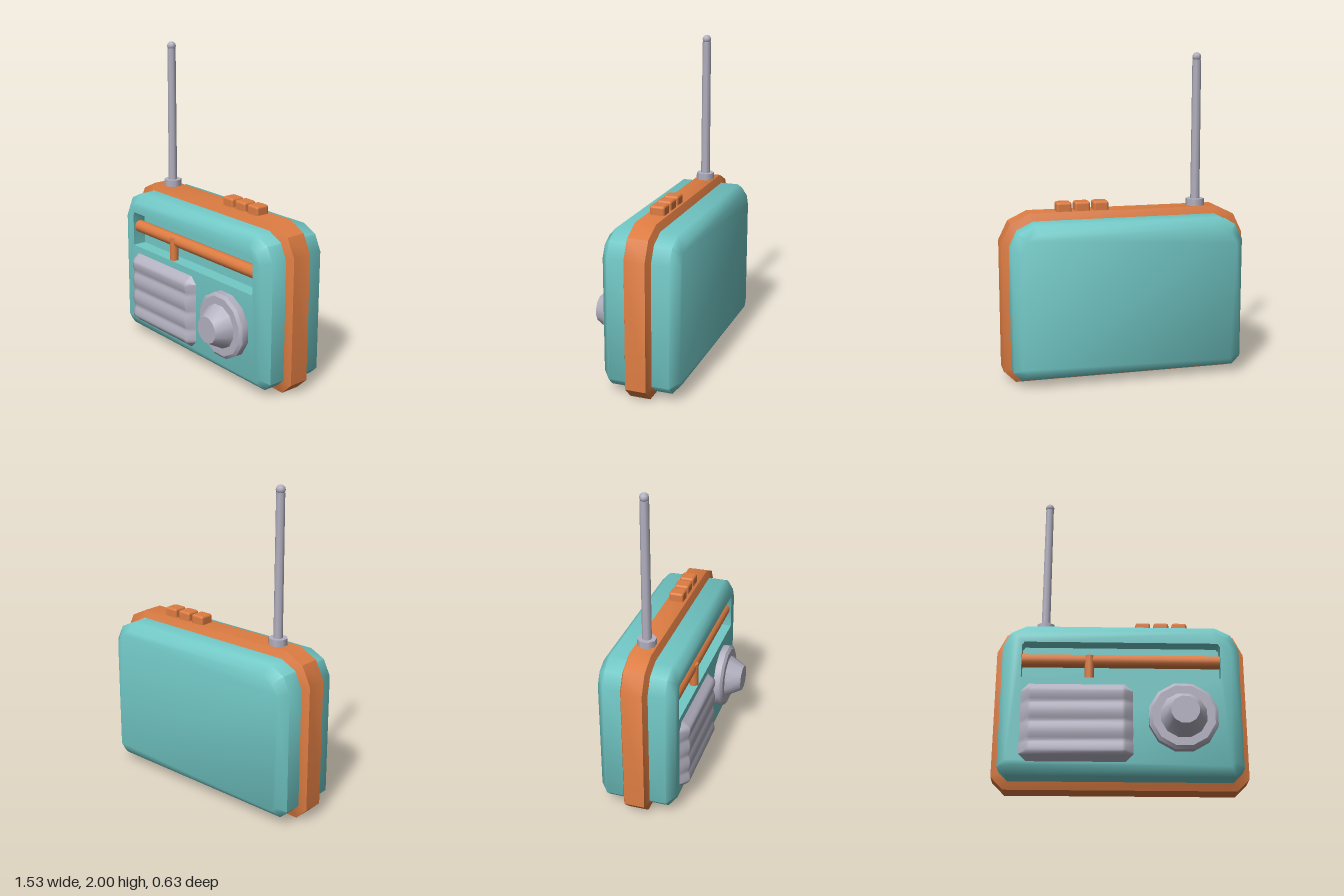
import * as THREE from 'three';
import { mergeGeometries, toCreasedNormals } from 'three/addons/utils/BufferGeometryUtils.js';
import { RoundedBoxGeometry } from 'three/addons/geometries/RoundedBoxGeometry.js';

// Counter-clockwise cabinet outline: small cut corners below, rounder corners above
function outline(w, y0, y1, cut, round) {
  const k = round * 0.36;
  const right = [[w - cut, y0], [w, y0 + cut], [w, y1 - round * 1.1], [w - k, y1 - k], [w - round * 1.1, y1]];
  return [...right, ...right.map(([x, y]) => [-x, y]).reverse()];
}

// Quad strips joining closed rings { z, pts }, from back to front
function loft(rings) {
  const pos = [];
  for (let r = 0; r < rings.length - 1; r++) {
    const a = rings[r], b = rings[r + 1], n = a.pts.length;
    for (let i = 0; i < n; i++) {
      const j = (i + 1) % n;
      const p = [...a.pts[i], a.z], q = [...a.pts[j], a.z];
      const s = [...b.pts[j], b.z], t = [...b.pts[i], b.z];
      pos.push(...p, ...q, ...s, ...p, ...s, ...t);
    }
  }
  const g = new THREE.BufferGeometry();
  g.setAttribute('position', new THREE.Float32BufferAttribute(pos, 3));
  return g;
}

// Flat face filling an outline, with an optional hole
function face(pts, z, hole) {
  const v = (list) => list.map(([x, y]) => new THREE.Vector2(x, y));
  const shape = new THREE.Shape(v(pts));
  if (hole) shape.holes.push(new THREE.Path(v(hole)));
  const g = new THREE.ShapeGeometry(shape).toNonIndexed();
  g.deleteAttribute('uv');
  g.deleteAttribute('normal');
  return g.translate(0, 0, z);
}

// Speaker panel: a wavy sheet sloping down to the cabinet on all sides
function speakerGeometry() {
  const x0 = -0.6, x1 = 0.075, y0 = 0.12, y1 = 0.6, e = 0.05, rows = 32;
  const xs = [x0, x0 + e, x0 + e + 0.02, x1 - e - 0.02, x1 - e, x1];
  const pos = [], index = [], cols = xs.length;
  for (let i = 0; i <= rows; i++) {
    const t = i / rows, y = y0 + (y1 - y0) * t;
    const edge = Math.min(1, Math.min(y - y0, y1 - y) / 0.04);
    const wave = 0.037 + 0.013 * Math.abs(Math.sin(t * Math.PI * 4));
    xs.forEach((x, c) => {
      const end = c === 0 || c === cols - 1;
      const yy = end ? THREE.MathUtils.clamp(y, y0 + 0.045, y1 - 0.045) : y;
      pos.push(x, yy, 0.155 + (end ? 0 : edge * wave + 0.005));
    });
  }
  for (let i = 0; i < rows; i++) for (let c = 0; c < cols - 1; c++) {
    const a = i * cols + c, b = a + cols;
    index.push(a, a + 1, b + 1, a, b + 1, b);
  }
  const g = new THREE.BufferGeometry();
  g.setAttribute('position', new THREE.Float32BufferAttribute(pos, 3));
  g.setIndex(index);
  g.computeVertexNormals();
  return g;
}

export function createModel() {
  const group = new THREE.Group();
  const material = (name, color) => {
    const m = new THREE.MeshStandardMaterial({ color });
    m.name = name;
    return m;
  };
  const teal = material('teal', 0x72c9c7);
  const orange = material('orange', 0xdd7c42);
  const grey = material('grey', 0xb3b1c0);
  const add = (name, geometry, mat, x = 0, y = 0, z = 0) => {
    const mesh = new THREE.Mesh(geometry, mat);
    mesh.name = name;
    mesh.position.set(x, y, z);
    group.add(mesh);
    return mesh;
  };

  // Cabinet with bevelled front and back and a sunken dial slot
  const outer = outline(0.72, 0.05, 1.0, 0.05, 0.13);
  const inner = outline(0.67, 0.1, 0.95, 0.03, 0.1);
  const slot = [[-0.6, 0.645], [0.6, 0.645], [0.6, 0.855], [0.585, 0.875], [-0.585, 0.875], [-0.6, 0.855]];
  const floorZ = 0.07;
  const cabinet = mergeGeometries([
    loft([{ z: -0.318, pts: inner }, { z: -0.27, pts: outer }, { z: 0.113, pts: outer }, { z: 0.16, pts: inner }]),
    face(inner, 0.16, slot),
    face(inner, 0.318).rotateY(Math.PI),
    loft([{ z: 0.16, pts: slot }, { z: floorZ, pts: slot }]),
    face(slot, floorZ),
  ]);
  add('cabinet', toCreasedNormals(cabinet, 1.0), teal);

  // Band around the middle
  const bandOuter = outline(0.765, 0, 1.05, 0.075, 0.16);
  const bandInner = outline(0.72, 0.045, 1.005, 0.055, 0.135);
  add('band', toCreasedNormals(loft([
    { z: -0.16, pts: bandInner }, { z: -0.14, pts: bandOuter },
    { z: -0.012, pts: bandOuter }, { z: 0.008, pts: bandInner },
  ]), 0.6), orange);

  // Dial bar and pointer
  add('dialBar', new THREE.CylinderGeometry(0.04, 0.04, 1.2, 12), orange, 0, 0.77, 0.11).rotation.z = Math.PI / 2;
  add('dialPointer', new THREE.CylinderGeometry(0.028, 0.028, 0.15, 12), orange, -0.192, 0.72, 0.13);

  // Speaker panel
  add('speakerPanel', speakerGeometry(), grey);

  // Tuning knob
  const knobProfile = [[0.21, 0], [0.21, 0.045], [0.19, 0.06], [0.14, 0.06], [0.085, 0.157], [0, 0.157]]
    .map(([r, h]) => new THREE.Vector2(r, h));
  const knob = new THREE.LatheGeometry(knobProfile, 12, Math.PI / 12).rotateX(Math.PI / 2);
  add('tuningKnob', toCreasedNormals(knob, 0.6), grey, 0.365, 0.39, 0.158);

  // Push buttons on top
  for (let i = 0; i < 3; i++) {
    add('pushButton', new RoundedBoxGeometry(0.095, 0.08, 0.095, 2, 0.015), orange, 0.143 + i * 0.115, 1.065, -0.078);
  }

  // Antenna
  const ax = -0.473, az = -0.076;
  add('antennaBase', new THREE.CylinderGeometry(0.058, 0.058, 0.05, 8).rotateY(Math.PI / 8), grey, ax, 1.067, az);
  add('antennaRod', new THREE.CylinderGeometry(0.027, 0.029, 0.87, 8).rotateY(Math.PI / 8), grey, ax, 1.52, az);
  add('antennaTip', new THREE.SphereGeometry(0.029, 8, 6), grey, ax, 1.971, az);

  return group;
}
